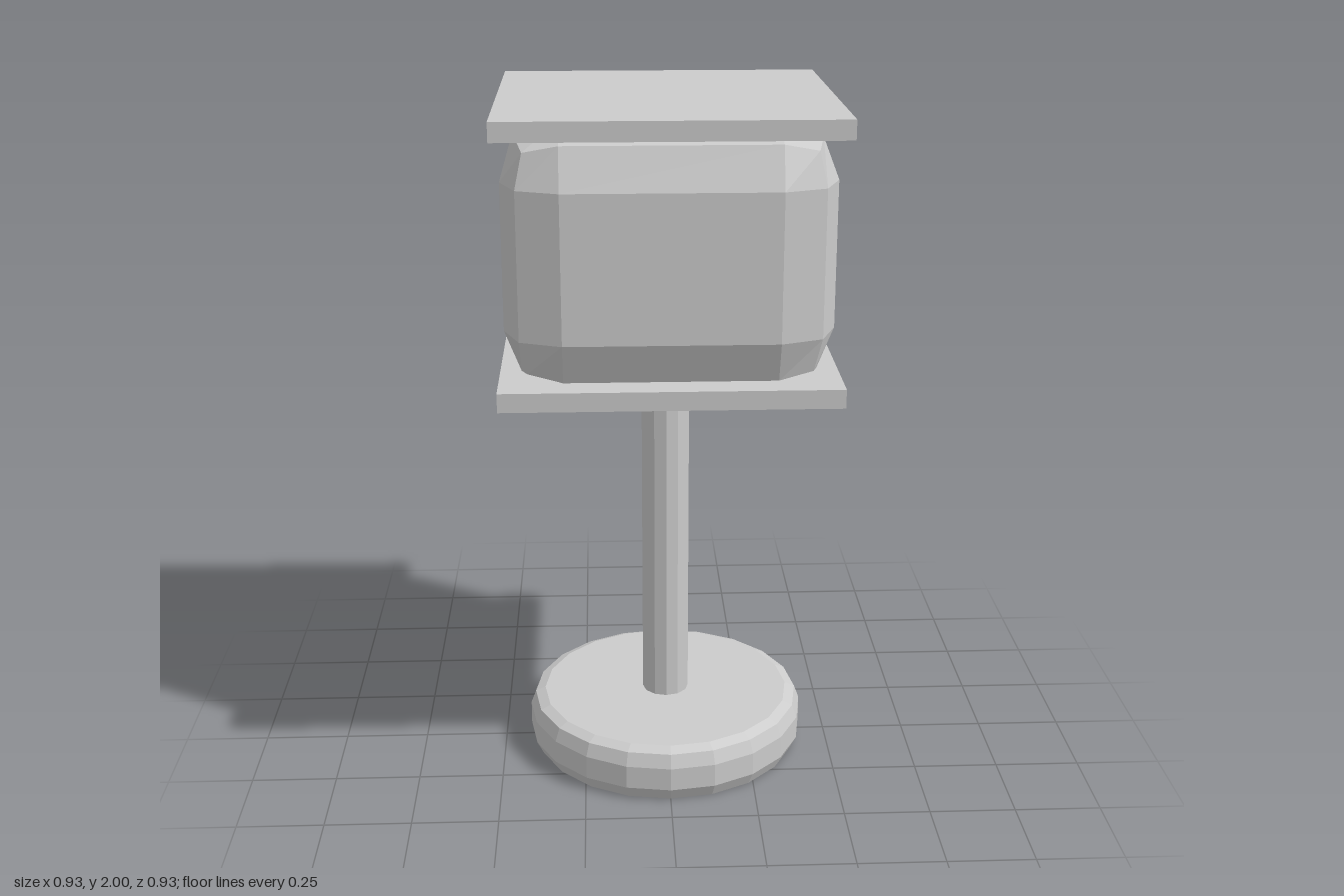
import * as THREE from 'three';

const material = new THREE.MeshStandardMaterial({
  color: 0xcccccc, flatShading: true, side: THREE.DoubleSide,
});

function add(group, name, geometry, y = 0) {
  const mesh = new THREE.Mesh(geometry, material);
  mesh.name = name;
  mesh.position.y = y;
  group.add(mesh);
}

// Box without its underside
function openBox(w, h, d, segments = 1) {
  const box = new THREE.BoxGeometry(w, h, d, segments, segments, segments);
  const perFace = segments * segments * 6;
  const index = Array.from(box.index.array);
  index.splice(3 * perFace, perFace); // the fourth side faces down
  box.setIndex(index);
  box.clearGroups();
  return box;
}

// Puffed box: the more outer planes a vertex lies on, the further it is pulled in
function shadeGeometry() {
  const geometry = openBox(2, 2, 2, 3);
  const p = geometry.attributes.position;
  const inset = [0, 0, 0.045, 0.065];
  const outer = [0.45, 0.3625, 0.45];
  const inner = [0.29, 0.203, 0.29];
  for (let i = 0; i < p.count; i++) {
    const v = [p.getX(i), p.getY(i), p.getZ(i)];
    const n = v.filter((c) => Math.abs(c) > 0.9).length;
    p.setXYZ(i, ...v.map((c, k) =>
      Math.sign(c) * (Math.abs(c) > 0.9 ? outer[k] - inset[n] : inner[k])));
  }
  const flat = geometry.toNonIndexed();
  flat.computeVertexNormals();
  return flat;
}

export function createModel() {
  const lamp = new THREE.Group();
  lamp.name = 'tableLamp';

  // Hollow round foot, open underneath
  const profile = [[0.4, 0], [0.42, 0.04], [0.42, 0.11], [0.405, 0.15], [0.375, 0.163], [0, 0.163]];
  add(lamp, 'base', new THREE.LatheGeometry(
    profile.map(([r, y]) => new THREE.Vector2(r, y)), 20));

  // Hollow pole, with a short stub below the foot's top
  add(lamp, 'pole', new THREE.CylinderGeometry(0.07, 0.07, 1.22, 12, 1, true), 0.72);

  // Shade between two square plates
  add(lamp, 'lowerPlate', openBox(0.93, 0.053, 0.93), 1.2575);
  add(lamp, 'shade', shadeGeometry(), 1.61);
  add(lamp, 'upperPlate', openBox(0.93, 0.053, 0.93), 1.9735);

  return lamp;
}
